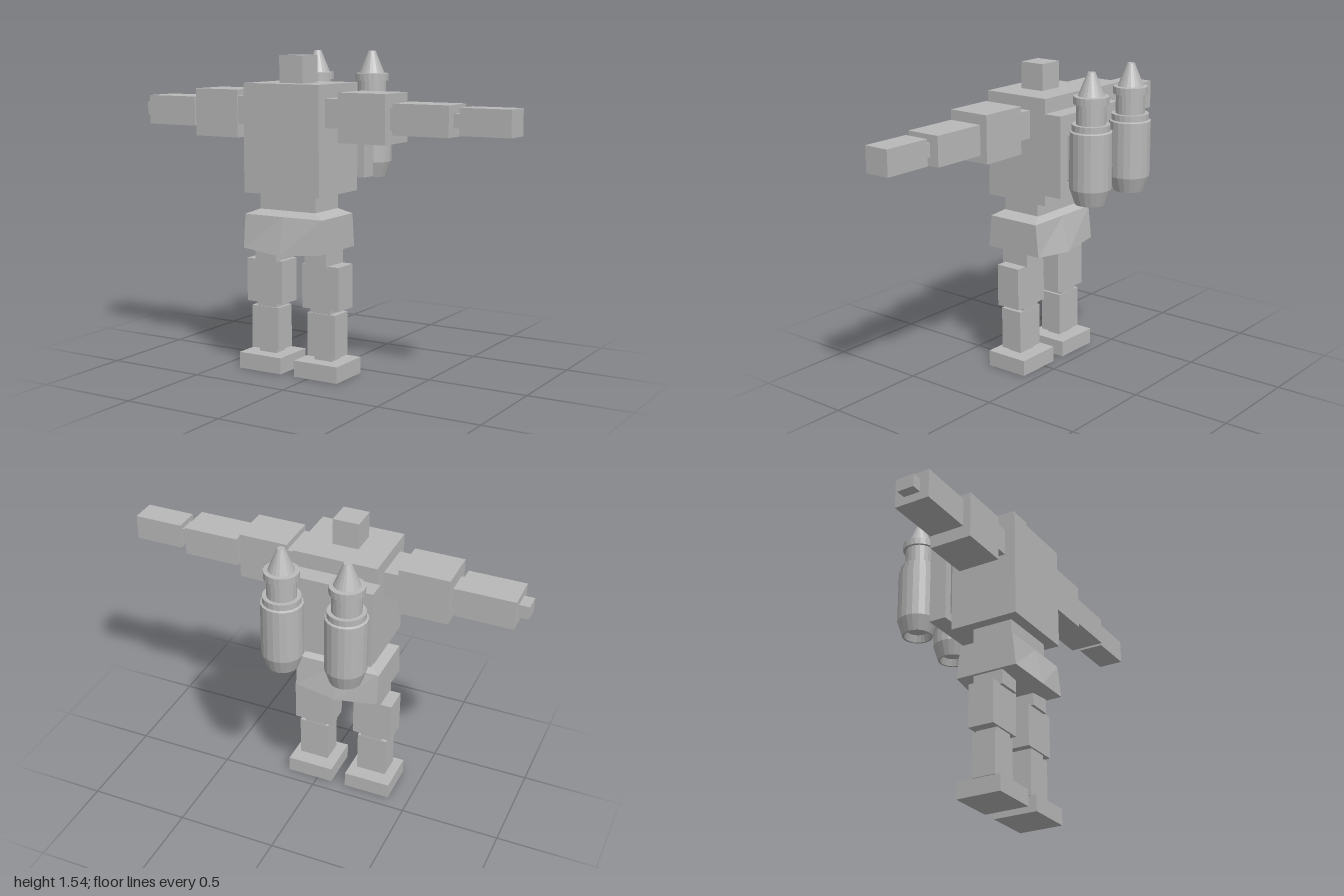
import * as THREE from 'three';

const CX = -0.117; // the body's mid-plane

// Moves vertices by a rule, then gives each face its own flat normal
function faceted(geometry, rule) {
  const p = geometry.attributes.position, v = new THREE.Vector3();
  if (rule) for (let i = 0; i < p.count; i++) {
    rule(v.fromBufferAttribute(p, i));
    p.setXYZ(i, v.x, v.y, v.z);
  }
  const flat = geometry.toNonIndexed();
  flat.computeVertexNormals();
  return flat;
}

export function createModel() {
  const model = new THREE.Group();
  model.name = 'robot';
  const grey = new THREE.MeshStandardMaterial({ color: 0xb8b8b8 });
  grey.name = 'grey';

  const add = (name, geometry, x = 0, y = 0, z = 0, parent = model) => {
    const mesh = new THREE.Mesh(geometry, grey);
    mesh.name = name;
    mesh.position.set(x, y, z);
    parent.add(mesh);
    return mesh;
  };
  // Box given by its limits on each axis
  const box = (name, x0, x1, y0, y1, z0, z1, parent) =>
    add(name, new THREE.BoxGeometry(x1 - x0, y1 - y0, z1 - z0),
      (x0 + x1) / 2, (y0 + y1) / 2, (z0 + z1) / 2, parent);
  // Box that narrows towards the back
  const taperBack = (name, x, y, z, w, h, d, sx, sy, parent) =>
    add(name, faceted(new THREE.BoxGeometry(w, h, d), v => {
      if (v.z < 0) { v.x *= sx; v.y *= sy; }
    }), x, y, z, parent);

  // Head, torso and waist
  box('head', CX - 0.065, CX + 0.065, 1.4, 1.53, 0.11, 0.24);
  box('torso', CX - 0.209, CX + 0.209, 0.88, 1.4, -0.02, 0.33);
  box('waist', CX - 0.155, CX + 0.155, 0.795, 0.88, 0.07, 0.275);

  // Pelvis: bevelled top, flared skirt pointed at front and back
  add('pelvis', faceted(new THREE.BoxGeometry(2, 2, 2, 2, 2, 1), v => {
    const centre = Math.abs(v.x) < 0.1;
    if (v.y > 0.5) v.set(v.x * 0.155, 0.8, v.z * 0.103);
    else if (v.y > -0.5) v.set(v.x * 0.215, 0.775, v.z * 0.14);
    else v.set(v.x * 0.215, centre ? 0.593 : 0.613, v.z * (centre ? 0.178 : 0.157));
  }), CX, 0, 0.175);

  // Rocket outline, from the hollow nozzle to the blunt tip
  const outline = [
    [0, 0.96], [0.055, 0.96], [0.065, 0.925], [0.075, 0.925], [0.1, 1], [0.1, 1.27],
    [0.09, 1.275], [0.09, 1.305], [0.07, 1.305], [0.07, 1.4], [0.083, 1.4],
    [0.083, 1.435], [0.062, 1.437], [0.018, 1.545], [0, 1.545],
  ].map(([r, y]) => new THREE.Vector2(r, y));
  const rocket = faceted(new THREE.LatheGeometry(outline, 20));

  // Backpack
  taperBack('backpackMount', CX, 1.14, -0.03, 0.4, 0.33, 0.024, 0.94, 0.94);
  box('backpackPlate', CX - 0.234, CX + 0.234, 0.94, 1.335, -0.13, -0.04);

  // Limbs and rockets on both sides; each offset is from the mid-plane
  for (const [side, s] of [['left', 1], ['right', -1]]) {
    const half = (part, a, b, y0, y1, z0, z1, parent) =>
      box(part, CX + Math.min(s * a, s * b), CX + Math.max(s * a, s * b), y0, y1, z0, z1, parent);

    const arm = new THREE.Group();
    arm.name = side + 'Arm';
    model.add(arm);
    half('shoulder', 0.2, 0.28, 1.2, 1.335, 0.07, 0.275, arm);
    half('upperArm', 0.28, 0.527, 1.135, 1.365, 0.067, 0.282, arm);
    half('elbow', 0.52, 0.56, 1.2, 1.3, 0.115, 0.235, arm);
    half('forearm', 0.552, 0.832, 1.18, 1.323, 0.083, 0.26, arm);
    half('wrist', 0.825, 0.883, 1.22, 1.285, 0.13, 0.215, arm);
    // Only the left arm ends in a hand
    if (s > 0) half('hand', 0.872, 1.117, 1.19, 1.313, 0.108, 0.237, arm);

    const leg = new THREE.Group();
    leg.name = side + 'Leg';
    model.add(leg);
    half('hip', 0.08, 0.202, 0.54, 0.62, 0.1, 0.255, leg);
    half('thigh', 0.058, 0.26, 0.333, 0.545, 0.11, 0.24, leg);
    half('knee', 0.098, 0.208, 0.305, 0.34, 0.12, 0.23, leg);
    half('shin', 0.083, 0.237, 0.1, 0.312, 0.118, 0.235, leg);
    half('ankle', 0.11, 0.208, 0.07, 0.105, 0.14, 0.215, leg);
    half('foot', 0.038, 0.278, 0, 0.08, 0.063, 0.287, leg);

    const x = CX + s * 0.158;
    taperBack(side + 'RocketBracket', x, 1.13, -0.145, 0.04, 0.23, 0.03, 0.8, 0.65);
    add(side + 'Rocket', rocket, x, 0, -0.25);
  }
  return model;
}
